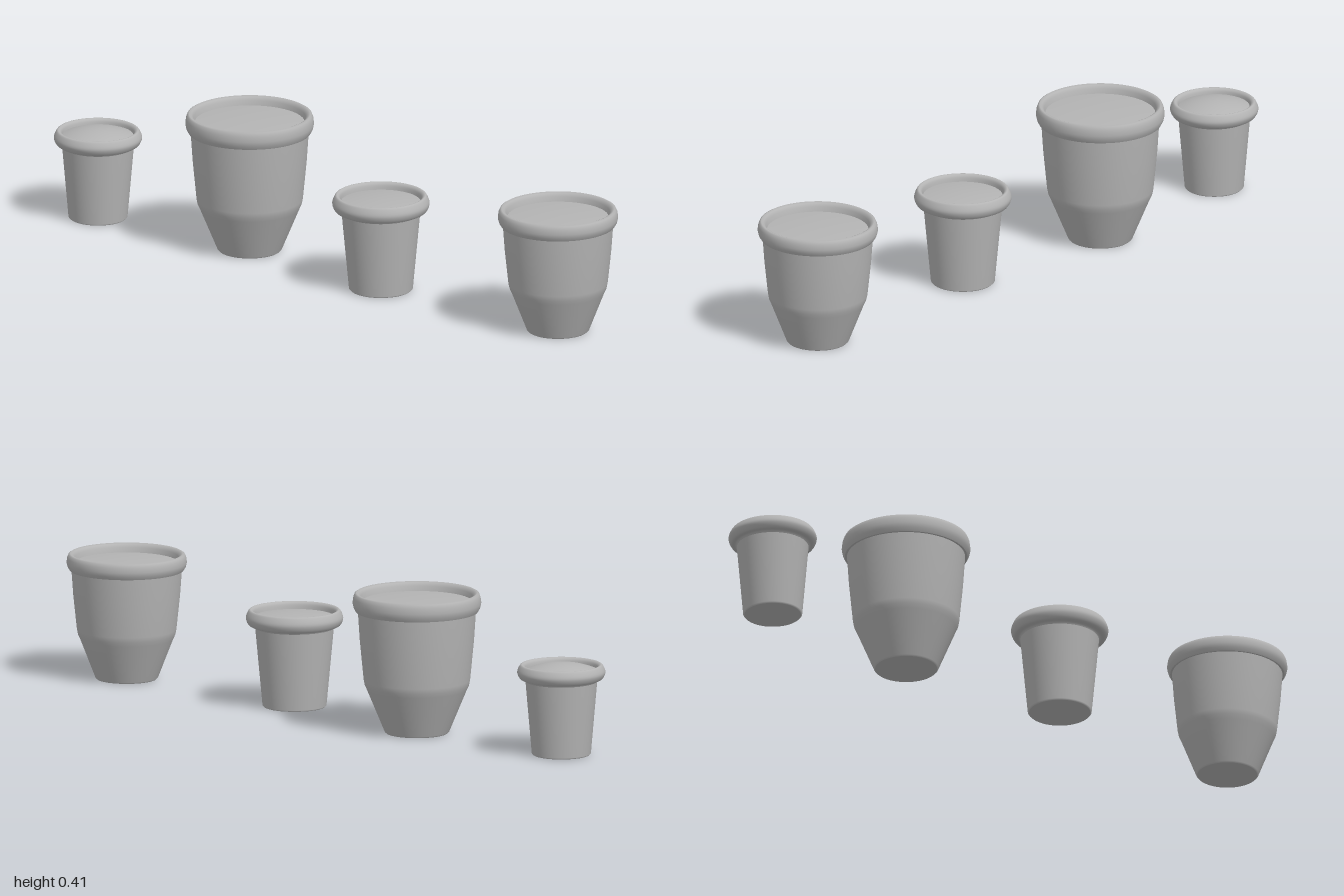
import * as THREE from 'three';

const clay = new THREE.MeshStandardMaterial({ color: 0xb4b4b4 });
clay.name = 'plain grey clay';

// Turned part from [radius, height] points, running up the outside and down the inside
function turned(name, points, smooth = false) {
  let profile = points.map(([r, y]) => new THREE.Vector2(r, y));
  if (smooth) {
    const curve = new THREE.SplineCurve(profile);
    profile = curve.getPoints(points.length * 4);
  }
  const mesh = new THREE.Mesh(new THREE.LatheGeometry(profile, 64), clay);
  mesh.name = name;
  return mesh;
}

// Base disc, soil and the inner wall are shared by both kinds of pot
function addCommonParts(pot, baseRadius, innerRadius, top, soilEdge, soilPeak) {
  pot.add(turned('base', [[0, 0], [baseRadius, 0]]));
  const dome = [];
  for (let i = 0; i <= 8; i++) {
    const t = 1 - i / 8;
    dome.push([innerRadius * t, soilEdge + (soilPeak - soilEdge) * (1 - t * t)]);
  }
  pot.add(turned('soil', dome));
}

// Large pot: belly tapering to a narrow foot, with a broad banded rim
function largePot(name, { foot, belly, bellyY, neck, rim, rimY, top }) {
  const pot = new THREE.Group();
  pot.name = name;
  const inner = rim - 0.024;
  const h = top - rimY;
  pot.add(turned('body', [
    [foot - 0.004, 0], [foot, 0.004],
    [belly - 0.006, bellyY - 0.013], [belly, bellyY], [belly + 0.003, bellyY + 0.015],
    [belly + (neck - belly) * 0.7, bellyY + (rimY - bellyY) * 0.6], [neck, rimY + 0.004],
  ]));
  pot.add(turned('rimUnderside', [[neck - 0.004, rimY], [rim - 0.009, rimY]]));
  pot.add(turned('rim', [
    [rim - 0.009, rimY], [rim - 0.003, rimY + h * 0.2], [rim, rimY + h * 0.45],
    [rim - 0.002, rimY + h * 0.75], [rim - 0.006, top - 0.003], [rim - 0.011, top],
    [rim - 0.018, top - 0.003], [inner, top - 0.012], [inner - 0.004, top - 0.03],
  ]));
  addCommonParts(pot, foot - 0.004, inner - 0.003, top, top - 0.026, top - 0.02);
  return pot;
}

// Small pot: straight tapered body with a rolled lip
function smallPot(name, { foot, neck, rim, rimY, top, soilEdge, soilPeak }) {
  const pot = new THREE.Group();
  pot.name = name;
  const h = top - rimY;
  const inner = rim - 0.026;
  pot.add(turned('body', [[foot - 0.004, 0], [foot, 0.004], [neck, rimY + 0.004]]));
  pot.add(turned('rim', [
    [neck - 0.001, rimY - 0.006], [neck + 0.004, rimY], [rim - 0.008, rimY + h * 0.07],
    [rim, rimY + h * 0.48], [rim - 0.007, top - h * 0.1], [rim - 0.014, top],
    [rim - 0.022, top - h * 0.15], [inner, top - h * 0.55],
  ], true));
  addCommonParts(pot, foot - 0.004, inner + 0.001, top, soilEdge, soilPeak);
  return pot;
}

export function createModel() {
  const model = new THREE.Group();
  model.name = 'plantPots';
  const place = (pot, x, z) => {
    pot.position.set(x, 0, z);
    model.add(pot);
  };
  place(smallPot('smallPotRight', {
    foot: 0.085, neck: 0.104, rim: 0.127, rimY: 0.22, top: 0.263, soilEdge: 0.247, soilPeak: 0.267,
  }), -0.873, 0.05);
  place(largePot('largePotRight', {
    foot: 0.093, belly: 0.15, bellyY: 0.14, neck: 0.17, rim: 0.185, rimY: 0.355, top: 0.409,
  }), -0.344, 0);
  place(smallPot('smallPotLeft', {
    foot: 0.092, neck: 0.114, rim: 0.14, rimY: 0.236, top: 0.283, soilEdge: 0.262, soilPeak: 0.27,
  }), 0.186, 0.042);
  place(largePot('largePotLeft', {
    foot: 0.09, belly: 0.14, bellyY: 0.13, neck: 0.159, rim: 0.173, rimY: 0.318, top: 0.366,
  }), 0.826, 0.01);
  return model;
}
